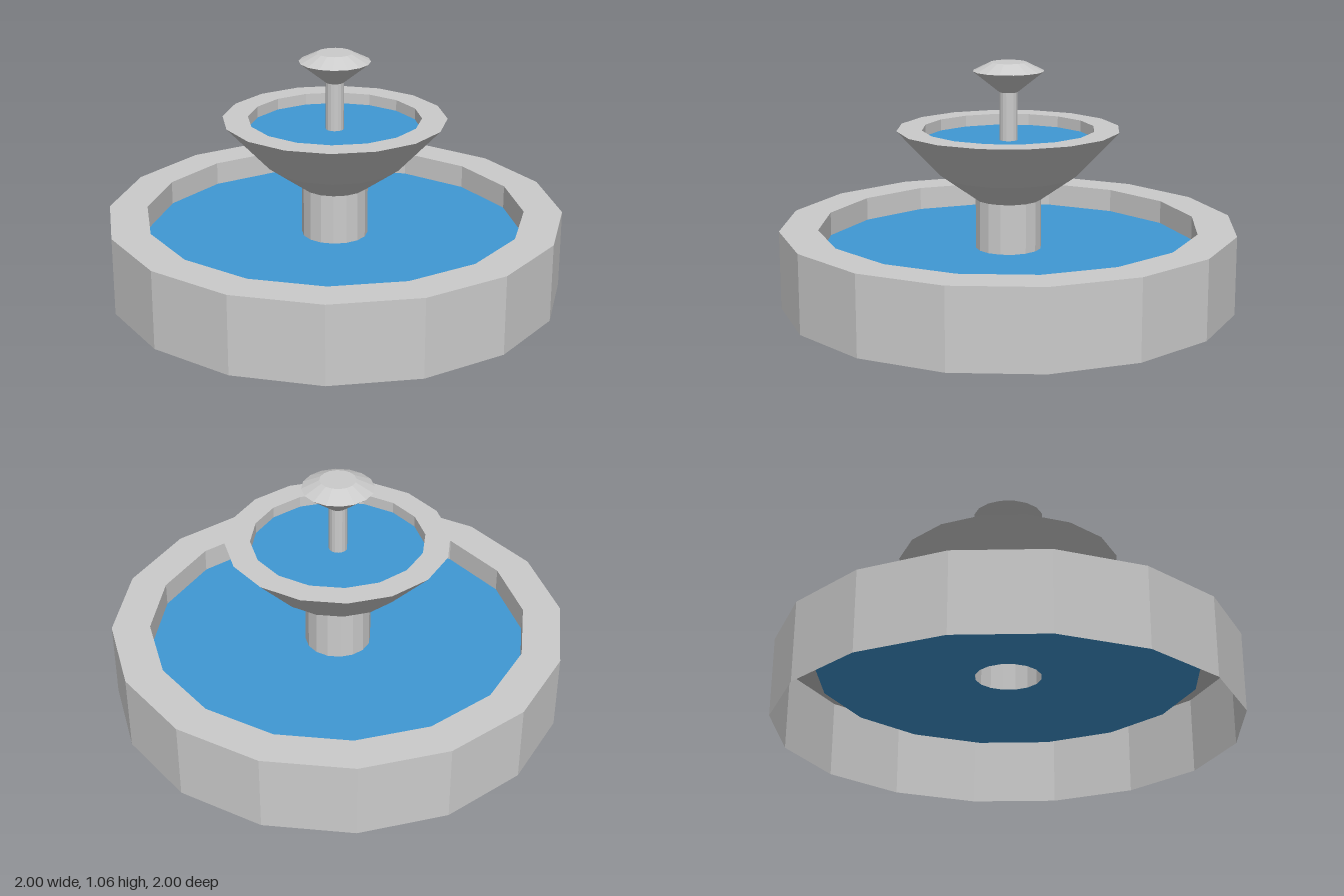
import * as THREE from 'three';

const SIDES = 16;

const stone = new THREE.MeshStandardMaterial({ color: 0xcccccc, flatShading: true, side: THREE.DoubleSide });
const water = new THREE.MeshStandardMaterial({ color: 0x4098d4, flatShading: true, side: THREE.DoubleSide });

// Faceted surface of revolution from [radius, height] pairs
function turned(name, profile, material = stone) {
  const points = profile.map(([r, y]) => new THREE.Vector2(r, y));
  const mesh = new THREE.Mesh(new THREE.LatheGeometry(points, SIDES), material);
  mesh.name = name;
  return mesh;
}

export function createModel() {
  const basinWater = 0.24;
  const bowlWater = 0.72;

  const fountain = new THREE.Group();
  fountain.name = 'fountain';
  fountain.add(
    // Lower pool: open underneath, hollow wall with a flat rim
    turned('basin', [[1, 0], [1, 0.345], [0.832, 0.345], [0.832, basinWater]]),
    turned('basinWater', [[0.832, basinWater], [0.145, basinWater]], water),
    // Hollow column carrying the upper bowl
    turned('pedestal', [[0.145, basinWater], [0.145, 0.46]]),
    // Upper bowl with its rim and inner wall
    turned('bowl', [[0.145, 0.46], [0.3, 0.57], [0.487, 0.77], [0.377, 0.77], [0.377, bowlWater]]),
    turned('bowlWater', [[0.377, bowlWater], [0.04, bowlWater]], water),
    // Spout and its flared cap
    turned('spout', [[0.04, bowlWater], [0.04, 0.93]]),
    turned('spoutCap', [[0.04, 0.93], [0.155, 1.022], [0.078, 1.06], [0, 1.06]]),
  );
  return fountain;
}
